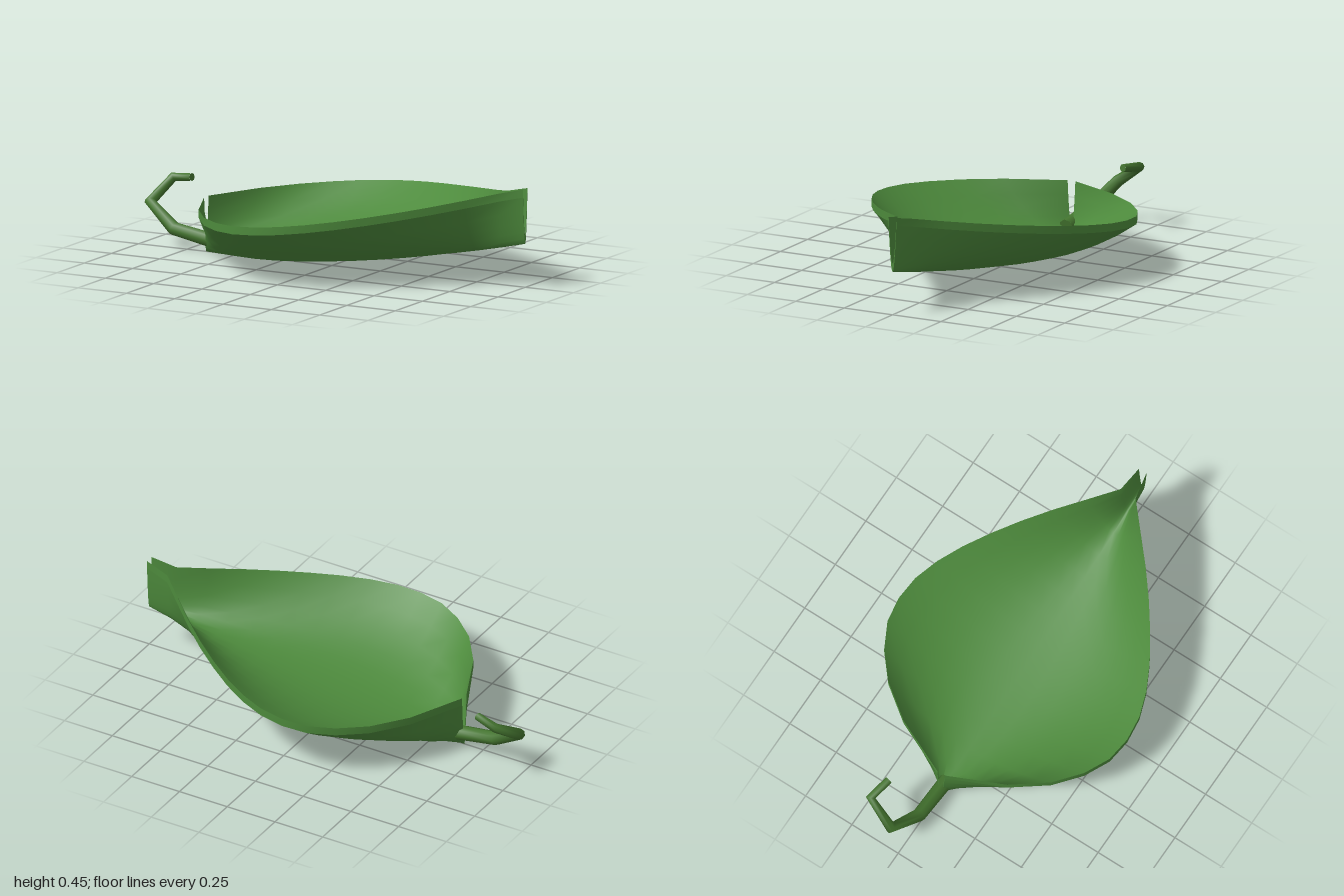
import * as THREE from 'three';

const LENGTH = 1.65, START = -0.65, RIM = 0.216, THICK = 0.037;
// half widths at even stations from base to tip
const WIDTHS = [0.02, 0.28, 0.44, 0.54, 0.6, 0.617, 0.605, 0.565, 0.505, 0.43, 0.345, 0.25, 0.145, 0.04, 0.02];

// cupped blade: a thin slab bent to a parabola across and curled up lengthwise
function makeBlade() {
  const segments = WIDTHS.length - 1;
  const geo = new THREE.BoxGeometry(LENGTH, 1, 2, segments, 1, 12);
  const pos = geo.attributes.position;
  for (let i = 0; i < pos.count; i++) {
    const t = pos.getX(i) / LENGTH + 0.5;
    const s = pos.getZ(i);
    const top = pos.getY(i) > 0 ? THICK : 0;
    pos.setXYZ(i, START + t * LENGTH, 0.2 * t * t + RIM * s * s + top, s * WIDTHS[Math.round(t * segments)]);
  }
  geo.computeVertexNormals();
  const blade = new THREE.Mesh(geo, new THREE.MeshStandardMaterial({ color: 0x4d8a3c }));
  blade.name = 'leafBlade';
  return blade;
}

// straight runs between joints, with averaged tangents at each joint
class JointedPath extends THREE.Curve {
  constructor(points) {
    super();
    this.points = points;
  }
  getPointAt(u, target = new THREE.Vector3()) {
    const f = u * (this.points.length - 1);
    const i = Math.min(Math.floor(f), this.points.length - 2);
    return target.lerpVectors(this.points[i], this.points[i + 1], f - i);
  }
  getTangentAt(u, target = new THREE.Vector3()) {
    const i = Math.round(u * (this.points.length - 1));
    const p = this.points;
    const dir = (a, b) => (p[a] && p[b] ? p[b].clone().sub(p[a]).normalize() : new THREE.Vector3());
    return target.copy(dir(i - 1, i)).add(dir(i, i + 1)).normalize();
  }
}

// curled, tapering stem with closed ends
function makeStem() {
  const joints = [[-0.6, 0.05, 0], [-0.82, 0.087, -0.005], [-0.972, 0.187, -0.058], [-0.93, 0.28, -0.195], [-0.82, 0.295, -0.17]]
    .map((p) => new THREE.Vector3(...p));
  const radii = [0.035, 0.032, 0.027, 0.022, 0.018];
  const path = new JointedPath(joints);
  const sides = 8;
  const geo = new THREE.TubeGeometry(path, joints.length - 1, 1, sides, false);
  const pos = geo.attributes.position, v = new THREE.Vector3();
  for (let i = 0; i < pos.count; i++) {
    const j = Math.floor(i / (sides + 1));
    v.fromBufferAttribute(pos, i).sub(joints[j]).multiplyScalar(radii[j]).add(joints[j]);
    pos.setXYZ(i, v.x, v.y, v.z);
  }
  geo.computeBoundingSphere();
  const material = new THREE.MeshStandardMaterial({ color: 0x44752f });
  const stem = new THREE.Group();
  stem.name = 'stem';
  const tube = new THREE.Mesh(geo, material);
  tube.name = 'stemTube';
  stem.add(tube);
  for (const [j, u, sign] of [[0, 0, -1], [joints.length - 1, 1, 1]]) {
    const cap = new THREE.Mesh(new THREE.CircleGeometry(radii[j], sides), material);
    cap.name = 'stemEnd';
    cap.position.copy(joints[j]);
    cap.quaternion.setFromUnitVectors(new THREE.Vector3(0, 0, 1), path.getTangentAt(u).multiplyScalar(sign));
    stem.add(cap);
  }
  return stem;
}

export function createModel() {
  const leaf = new THREE.Group();
  leaf.name = 'leaf';
  leaf.add(makeBlade(), makeStem());
  return leaf;
}
